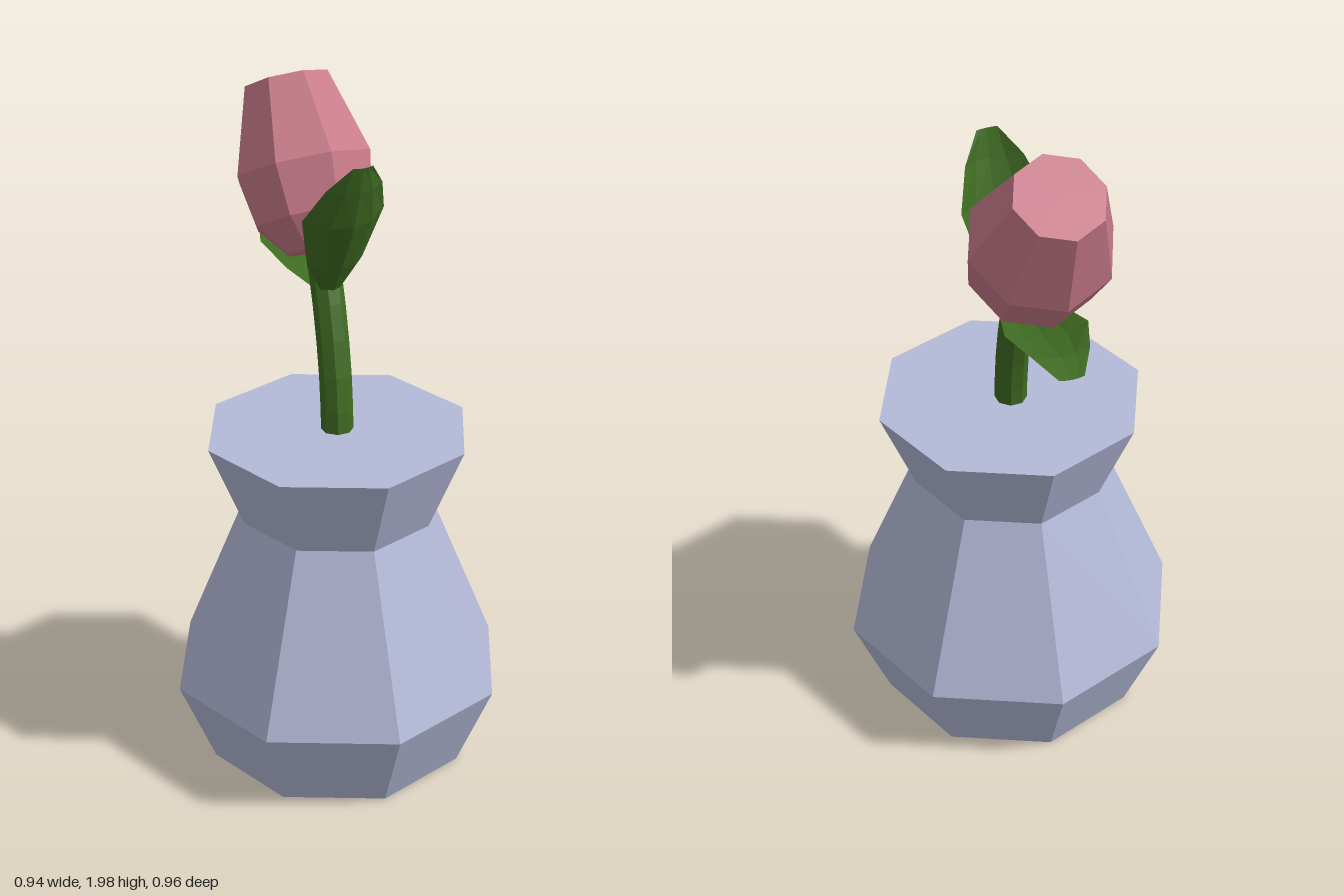
import * as THREE from 'three';

const vaseMat = new THREE.MeshStandardMaterial({ color: 0xb4b9d8, flatShading: true });
const petalMat = new THREE.MeshStandardMaterial({ color: 0xc67888, flatShading: true });
const stemMat = new THREE.MeshStandardMaterial({ color: 0x3f6b22, flatShading: true });
const leafMat = new THREE.MeshStandardMaterial({ color: 0x3f6b22, flatShading: true, side: THREE.DoubleSide });

function named(name, geometry, material) {
  const mesh = new THREE.Mesh(geometry, material);
  mesh.name = name;
  return mesh;
}

// Eight-sided solid of revolution from [radius, height] pairs
function octagonal(profile, turnDegrees) {
  const points = profile.map(([r, y]) => new THREE.Vector2(r, y));
  return new THREE.LatheGeometry(points, 8, THREE.MathUtils.degToRad(turnDegrees));
}

// Cupped leaf: rows of [reach, height, halfWidth, cup] swept along a heading;
// the margins are raised by lift and pulled back by pull, in units of cup
function leaf(base, heading, rows, lift, pull) {
  const across = 4;
  const dir = new THREE.Vector2(...heading).normalize();
  const position = [];
  const index = [];
  rows.forEach(([reach, y, half, cup], i) => {
    for (let j = 0; j <= across; j++) {
      const s = (j / across) * 2 - 1;
      const bend = cup * s * s;
      const h = reach - bend * pull;
      position.push(
        base[0] + dir.x * h - dir.y * half * s,
        y + bend * lift,
        base[1] + dir.y * h + dir.x * half * s
      );
      if (i && j) {
        const d = i * (across + 1) + j;
        const b = d - across - 1;
        index.push(b - 1, b, d, b - 1, d, d - 1);
      }
    }
  });
  const geometry = new THREE.BufferGeometry();
  geometry.setAttribute('position', new THREE.Float32BufferAttribute(position, 3));
  geometry.setIndex(index);
  geometry.computeVertexNormals();
  return geometry;
}

export function createModel() {
  const model = new THREE.Group();
  model.name = 'tulipInVase';

  // Faceted vase, closed at the top and bottom
  const vase = named('vase', octagonal(
    [[0, 0], [0.385, 0], [0.491, 0.255], [0.283, 0.765], [0.385, 1.015], [0, 1.015]], 17.75
  ), vaseMat);
  vase.position.z = 0.008;
  model.add(vase);

  // Stem bending back and to the side
  const path = new THREE.QuadraticBezierCurve3(
    new THREE.Vector3(0, 0.97, 0.007),
    new THREE.Vector3(0.01, 1.25, 0),
    new THREE.Vector3(0.09, 1.54, -0.14)
  );
  model.add(named('stem', new THREE.TubeGeometry(path, 6, 0.046, 8), stemMat));

  // Closed flower bud, tilted along the end of the stem
  const bud = named('bud', octagonal(
    [[0, 0], [0.1, 0], [0.176, 0.09], [0.203, 0.235], [0.127, 0.48], [0, 0.48]], 22.5
  ), petalMat);
  bud.position.set(0.085, 1.5, -0.13);
  bud.quaternion.setFromUnitVectors(
    new THREE.Vector3(0, 1, 0),
    new THREE.Vector3(0.1, 0.415, -0.22).normalize()
  );
  model.add(bud);

  // Upright leaf at the front
  model.add(named('uprightLeaf', leaf([0.045, -0.055], [-0.36, 0.93], [
    [0, 1.39, 0.02, 0.01],
    [0.06, 1.49, 0.085, 0.04],
    [0.135, 1.64, 0.125, 0.065],
    [0.17, 1.75, 0.085, 0.035],
    [0.19, 1.83, 0.03, 0.005]
  ], 0.3, 1), leafMat));

  // Spreading leaf at the back
  model.add(named('spreadingLeaf', leaf([0.045, -0.06], [0.456, -0.89], [
    [0, 1.385, 0.02, 0.01],
    [0.12, 1.41, 0.085, 0.03],
    [0.26, 1.44, 0.115, 0.033],
    [0.37, 1.46, 0.08, 0.015],
    [0.455, 1.448, 0.035, 0.005]
  ], 1, 0.2), leafMat));

  return model;
}
